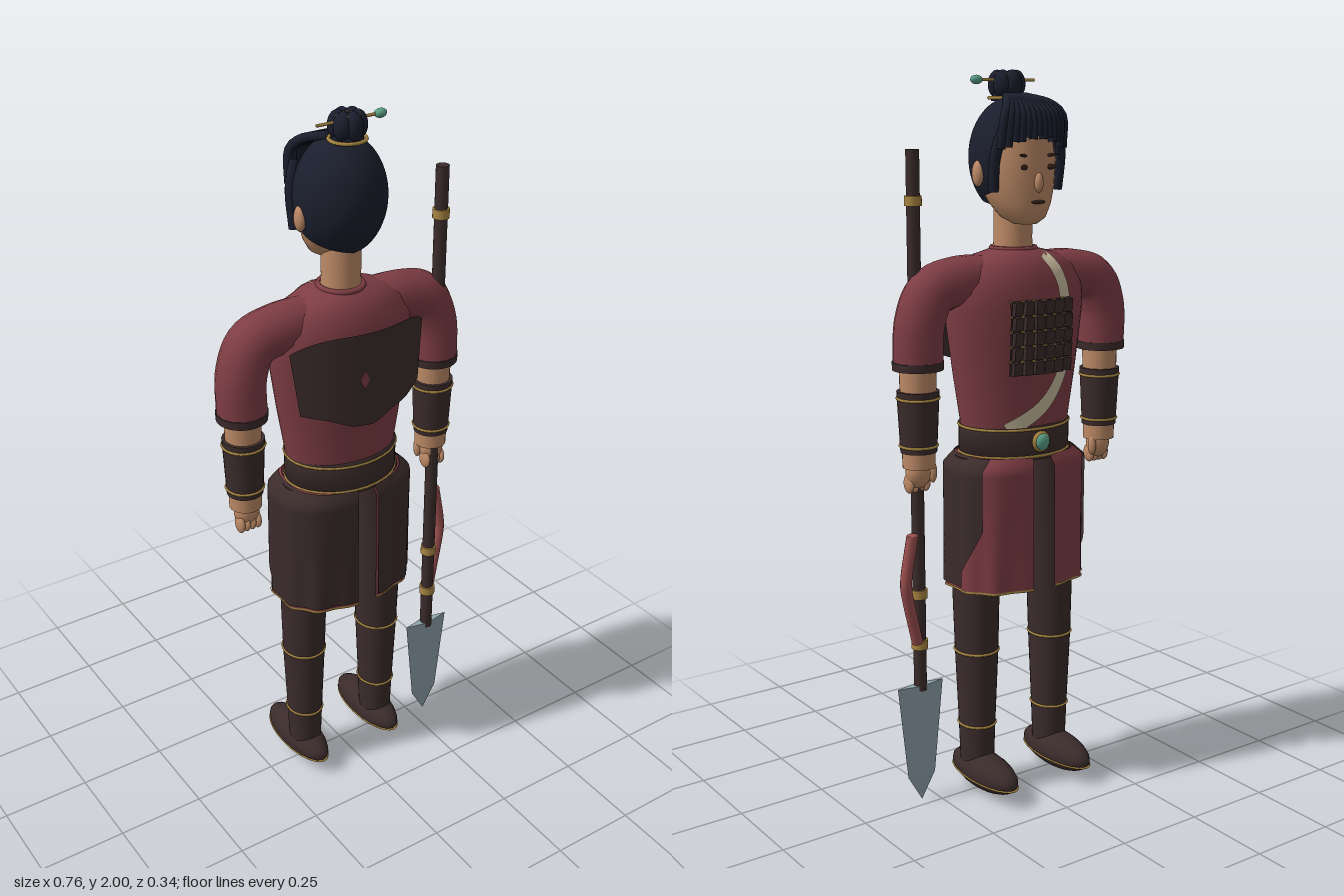
import * as THREE from 'three';
import { mergeVertices } from 'three/addons/utils/BufferGeometryUtils.js';

const CX = -0.005; // body axis
const mat = (name, color, side = THREE.FrontSide) => {
  const m = new THREE.MeshStandardMaterial({ color, side });
  m.name = name;
  return m;
};
const D = THREE.DoubleSide;

// Smooth surface from a rule (u, v in 0..1) -> [x, y, z]
function grid(nu, nv, fn) {
  const pos = [], idx = [];
  for (let j = 0; j <= nv; j++) for (let i = 0; i <= nu; i++) pos.push(...fn(i / nu, j / nv));
  for (let j = 0; j < nv; j++) for (let i = 0; i < nu; i++) {
    const a = j * (nu + 1) + i, b = a + 1, c = a + nu + 1, d = c + 1;
    idx.push(a, b, d, a, d, c);
  }
  let g = new THREE.BufferGeometry();
  g.setAttribute('position', new THREE.Float32BufferAttribute(pos, 3));
  g.setIndex(idx);
  g = mergeVertices(g);
  g.computeVertexNormals();
  return g;
}

// Rows of [y, centreX, centreZ, radiusX, radiusZ]; angle 0 points to +z, PI/2 to +x
function loft(rows, seg = 28, a0 = 0, a1 = Math.PI * 2) {
  return grid(seg, rows.length - 1, (u, v) => {
    const [y, cx, cz, rx, rz] = rows[Math.round(v * (rows.length - 1))];
    const a = a0 + (a1 - a0) * u;
    return [cx + rx * Math.sin(a), y, cz + rz * Math.cos(a)];
  });
}

const torsoRows = [
  [1.0, 0.155, 0.118], [1.07, 0.162, 0.12], [1.2, 0.185, 0.126], [1.3, 0.2, 0.13], [1.38, 0.212, 0.13],
  [1.44, 0.208, 0.124], [1.49, 0.18, 0.108], [1.52, 0.125, 0.085], [1.536, 0.06, 0.06],
].map(([y, rx, rz]) => [y, CX, 0.006, rx, rz]);

// Point on the chest or back (side = -1 or 1), lifted by off
function onTorso(x, y, side, off) {
  let k = 0;
  while (k < torsoRows.length - 2 && y > torsoRows[k + 1][0]) k++;
  const A = torsoRows[k], B = torsoRows[k + 1], t = (y - A[0]) / (B[0] - A[0]);
  const rx = A[3] + (B[3] - A[3]) * t, rz = A[4] + (B[4] - A[4]) * t;
  const q = Math.min(0.98, Math.abs((x - CX) / rx));
  return [x, y, 0.006 + side * (rz * Math.sqrt(1 - q * q) + off)];
}

export function createModel() {
  const root = new THREE.Group();
  const red = mat('red cloth', 0x7e3d44, D), brown = mat('dark leather', 0x3b2b2b, D);
  const hair = mat('black hair', 0x1b1e2d, D), skin = mat('skin', 0xbd8a66);
  const gold = mat('gold trim', 0xa98742), steel = mat('steel', 0x8fa4ad);
  const jade = mat('jade', 0x5da38a), cream = mat('cream cloth', 0xcbbd9f, D);
  const rose = mat('rose ribbon', 0x9c4f4f), ink = mat('dark features', 0x33231f);

  const add = (name, geo, m, x = 0, y = 0, z = 0, sx = 1, sy = 1, sz = 1) => {
    const o = new THREE.Mesh(geo, m);
    o.name = name;
    o.position.set(x, y, z);
    o.scale.set(sx, sy, sz);
    root.add(o);
    return o;
  };
  const ball = (name, m, x, y, z, rx, ry, rz) =>
    add(name, new THREE.SphereGeometry(1, 20, 14), m, x, y, z, rx, ry, rz);
  const ring = (name, m, x, y, z, rx, rz, t = 0.004) => {
    const g = new THREE.TorusGeometry(rx, t, 6, 28).rotateX(Math.PI / 2);
    return add(name, g, m, x, y, z, 1, 1, rz / rx);
  };
  const tube = (name, m, pts, r, n = 16) => {
    const c = new THREE.CatmullRomCurve3(pts.map(p => new THREE.Vector3(...p)));
    return add(name, new THREE.TubeGeometry(c, n, r, 14), m);
  };

  // Torso, neck and collar
  add('torso', loft(torsoRows, 40), red);
  add('neck', loft([[1.5, CX, 0.012, 0.058, 0.056], [1.56, CX, 0.012, 0.052, 0.052],
    [1.68, CX, 0.012, 0.053, 0.053]]), skin);
  ring('collar', red, CX, 1.535, 0.01, 0.058, 0.06, 0.008);

  // Torn leather panel on the back, with a red slit
  const lower = [1.24, 1.225, 1.2, 1.195, 1.22, 1.23, 1.25];
  const backPanel = (u, v) => {
    const x = -0.21 + 0.41 * u, f = Math.min(5.999, u * 6), i = Math.floor(f);
    const low = lower[i] + (lower[i + 1] - lower[i]) * (f - i);
    const high = 1.46 - 0.045 * Math.pow(Math.abs(2 * u - 1), 4);
    const w = 1 - 0.1 * (1 - v);
    const xx = CX + (x - CX) * w;
    return [xx, low + (high - low) * v,
      Math.max(0.168 - 1.9 * xx * xx, onTorso(xx, low + (high - low) * v, 1, 0.006)[2])];
  };
  add('backPanel', grid(30, 8, backPanel), brown);
  add('backSlit', new THREE.CylinderGeometry(0.014, 0.014, 0.004, 4).rotateX(Math.PI / 2), red,
    -0.034, 1.33, 0.167, 1, 1.9, 1);

  // Cream lapel running down the chest and across to the belt
  const lapel = new THREE.CatmullRomCurve3([[-0.045, 1.525], [-0.075, 1.46], [-0.088, 1.33],
    [-0.08, 1.22], [-0.02, 1.13], [0.09, 1.06]].map(p => new THREE.Vector3(p[0], p[1], 0)));
  add('lapel', grid(2, 30, (u, v) => {
    const p = lapel.getPoint(v), t = lapel.getTangent(v), s = (u - 0.5) * 0.04;
    return onTorso(p.x - t.y * s, p.y + t.x * s, -1, 0.005);
  }), cream);

  // Chest armour of small plates with gold side trim
  add('chestBacking', grid(16, 8, (u, v) => onTorso(-0.1 + 0.195 * u, 1.21 + 0.2 * v, -1, 0.009)), brown);
  for (let i = 0; i < 6; i++) for (let j = 0; j < 5; j++) {
    const x = -0.083 + i * 0.0325, y = 1.23 + j * 0.04, p = onTorso(x, y, -1, 0.013);
    const plate = add('chestPlate', new THREE.BoxGeometry(0.028, 0.036, 0.012), brown, ...p);
    plate.rotation.set(-0.12, Math.atan(x * 3.6), 0);
    const q = onTorso(x + 0.016, y + 0.019, -1, 0.014);
    add('stud', new THREE.BoxGeometry(0.006, 0.005, 0.008), gold, ...q);
  }
  for (const x of [-0.102, 0.095])
    add('chestTrim', grid(1, 8, (u, v) => onTorso(x + 0.007 * (u - 0.5), 1.21 + 0.2 * v, -1, 0.011)),
      gold).material = gold;

  // Belt and buckle
  add('belt', loft([[0.975, CX, 0.008, 0.1, 0.09], [0.975, CX, 0.008, 0.162, 0.131],
    [1.065, CX, 0.008, 0.162, 0.131], [1.068, CX, 0.008, 0.14, 0.11]], 36), brown);
  for (const y of [0.985, 1.06]) ring('beltTrim', gold, CX, y, 0.008, 0.162, 0.131);
  const bezel = ball('buckleBezel', gold, 0.0, 1.025, -0.125, 0.029, 0.029, 0.012);
  bezel.name = 'buckleBezel';
  ball('buckle', jade, 0.0, 1.025, -0.13, 0.023, 0.023, 0.014);

  // Split skirt: red cloth, leather over back and sides, hem trim
  const skirtPoint = (s, a, v, off) => {
    const top = Math.min(1, (1 - v) * 12), fold = 0.004 * Math.sin(a * 11) * (1 - v);
    const rx = 0.162 + 0.038 * top + off + fold, rz = 0.125 + 0.013 * top + off + fold;
    const sq = Math.pow(Math.abs(Math.sin(a)), 0.8), cq = Math.cos(a);
    return [CX + s * rx * sq, 0.61 + 0.375 * v, 0.005 + rz * Math.sign(cq) * Math.pow(Math.abs(cq), 0.8)];
  };
  for (const s of [-1, 1]) {
    const flip = (u) => s > 0 ? u : 1 - u;
    add('skirtCloth', grid(40, 24, (u, v) => skirtPoint(s, 0.09 + 2.94 * flip(u), v, 0)), red);
    add('skirtLeather', grid(30, 24, (u, v) => {
      const end = 1.75 + 0.45 * Math.min(1, Math.max(0, (v - 0.12) * 3));
      return skirtPoint(s, 0.1 + (end - 0.1) * flip(u), 0.035 + v * 0.965, 0.006);
    }), brown);
    add('skirtHem', grid(40, 1, (u, v) => skirtPoint(s, 0.09 + 2.94 * flip(u), v * 0.018, 0.003)), gold);
  }

  for (const s of [-1, 1]) {
    // Legs and boots
    const lx = CX + s * 0.128;
    add('leg', loft([[0.05, lx, 0.01, 0.045, 0.05], [0.2, lx, 0.01, 0.05, 0.056],
      [0.42, lx, 0.01, 0.06, 0.064], [0.62, lx, 0.012, 0.065, 0.07], [0.98, lx * 0.85, 0.01, 0.07, 0.075]]), brown);
    ring('bootBand', gold, lx, 0.2, 0.01, 0.05, 0.056);
    ring('bootBand', gold, lx, 0.42, 0.01, 0.06, 0.064);
    ball('foot', brown, lx, 0.064, -0.028, 0.056, 0.052, 0.143);
    ring('soleTrim', gold, lx, 0.05, -0.028, 0.054, 0.137, 0.003);

    // Sleeves, cuffs, forearms and bracers
    const ax = CX + s * 0.307;
    tube('sleeve', red, [[CX + s * 0.08, 1.457, 0.006], [CX + s * 0.19, 1.456, 0.006],
      [CX + s * 0.268, 1.432, 0.006], [CX + s * 0.302, 1.36, 0.008], [ax, 1.24, 0.012]], 0.067, 28);
    add('cuff', new THREE.CylinderGeometry(0.069, 0.068, 0.022, 28), brown, ax, 1.245, 0.012);
    add('forearm', new THREE.CylinderGeometry(0.05, 0.044, 0.28, 20), skin, ax, 1.11, 0.014);
    add('bracer', new THREE.CylinderGeometry(0.057, 0.049, 0.165, 24), brown, ax, 1.095, 0.014);
    ring('bracerTrim', gold, ax, 1.158, 0.014, 0.056, 0.056);
    ring('bracerTrim', gold, ax, 1.03, 0.014, 0.05, 0.05);

    // Closed hands
    ball('palm', skin, ax, 0.955, 0.018, 0.036, 0.044, 0.03);
    for (let i = 0; i < 4; i++)
      ball('finger', skin, ax - 0.026 + i * 0.017, 0.925, 0.026, 0.01, 0.027, 0.022);
    ball('thumb', skin, ax - s * 0.034, 0.955, 0.0, 0.011, 0.03, 0.013);

    // Ears, eyes and brows
    ball('ear', skin, CX + s * 0.118, 1.735, 0.005, 0.014, 0.034, 0.02);
    ball('eye', ink, CX + s * 0.041, 1.752, -0.097, 0.018, 0.007, 0.005).rotation.y = s * 0.4;
    ball('brow', ink, CX + s * 0.043, 1.782, -0.096, 0.022, 0.004, 0.005).rotation.set(0, s * 0.42, s * 0.12);
  }

  // Head
  add('head', loft([[1.6, CX, -0.045, 0.001, 0.001], [1.603, CX, -0.045, 0.03, 0.032],
    [1.62, CX, -0.035, 0.058, 0.062], [1.655, CX, -0.02, 0.082, 0.083], [1.7, CX, -0.006, 0.1, 0.097],
    [1.77, CX, 0, 0.108, 0.104], [1.87, CX, 0, 0.09, 0.09]], 32), skin);
  ball('nose', skin, CX, 1.712, -0.102, 0.013, 0.026, 0.014);
  ball('mouth', ink, CX, 1.662, -0.102, 0.023, 0.005, 0.005);

  // Hair cap, cut away around the face
  add('hair', grid(64, 24, (u, v) => {
    const a = u * Math.PI * 2, off = Math.abs(a - Math.PI); // 0 at the face
    const t = THREE.MathUtils.smoothstep(off, 0.7, 1.15);
    const th = (1.15 + (2.15 + 0.45 * Math.max(0, off - 1.15) / 2 - 1.15) * t) * (1 - v);
    const w = Math.sin(th);
    return [CX + 0.121 * w * Math.sin(a), 1.775 + 0.158 * Math.cos(th), 0.008 + 0.12 * w * Math.cos(a)];
  }), hair);
  for (let i = -6; i <= 6; i++) {
    const t = i / 6, drop = 0.03 * t * t + 0.006 * (i & 1);
    tube('fringeLock', hair, [[CX + 0.03 * t, 1.93, 0.0], [CX + 0.07 * t, 1.912, -0.06],
      [CX + 0.092 * t, 1.885, -0.096 + 0.015 * t * t], [CX + 0.1 * t, 1.83 - drop, -0.103 + 0.03 * t * t]], 0.012, 12);
  }
  for (const s of [-1, 1])
    tube('sideLock', hair, [[CX + s * 0.085, 1.86, -0.07], [CX + s * 0.105, 1.79, -0.058],
      [CX + s * 0.104, 1.69, -0.045]], 0.014);

  // Topknot with gold bands and a jade hairpin
  for (let i = 0; i < 6; i++) {
    const a = i * Math.PI / 3;
    ball('topknotLobe', hair, CX + 0.025 * Math.sin(a), 1.963, 0.04 + 0.025 * Math.cos(a), 0.025, 0.037, 0.025);
    const strip = add('topknotStrip', new THREE.BoxGeometry(0.005, 0.006, 0.024), gold,
      CX + 0.022 * Math.sin(a + 0.52), 1.99, 0.04 + 0.022 * Math.cos(a + 0.52));
    strip.rotation.y = a + 0.52;
  }
  add('topknotCore', new THREE.CylinderGeometry(0.028, 0.042, 0.07, 18), hair, CX, 1.955, 0.04);
  ring('topknotBand', gold, CX, 1.928, 0.04, 0.047, 0.047, 0.005);
  add('hairpin', new THREE.CylinderGeometry(0.004, 0.004, 0.19, 10).rotateZ(Math.PI / 2), gold, 0, 1.974, 0.04);
  ball('hairpinBead', jade, 0.092, 1.974, 0.04, 0.018, 0.012, 0.012);

  // Spade-headed polearm with bands and ribbon
  const px = 0.297, pz = 0.032;
  add('shaft', new THREE.CylinderGeometry(0.018, 0.018, 1.47, 16), brown, px, 1.065, pz);
  for (const y of [1.67, 0.61, 0.465])
    add('shaftBand', new THREE.CylinderGeometry(0.023, 0.023, 0.026, 16), gold, px, y, pz);
  const blade = loft([[0, px, pz, 0, 0], [0.075, px, pz, 0.044, 0.008], [0.345, px, pz, 0.073, 0.016],
    [0.345, px, pz, 0, 0]], 4).toNonIndexed();
  blade.computeVertexNormals();
  add('blade', blade, steel);
  const bend = [[0.312, 0.475, 0.02], [0.357, 0.64, 0.0], [0.358, 0.67, -0.002], [0.34, 0.79, -0.008]];
  tube('ribbon', rose, bend, 0.016, 20);
  ball('ribbonTip', rose, ...bend[3], 0.016, 0.006, 0.016);

  return root;
}
